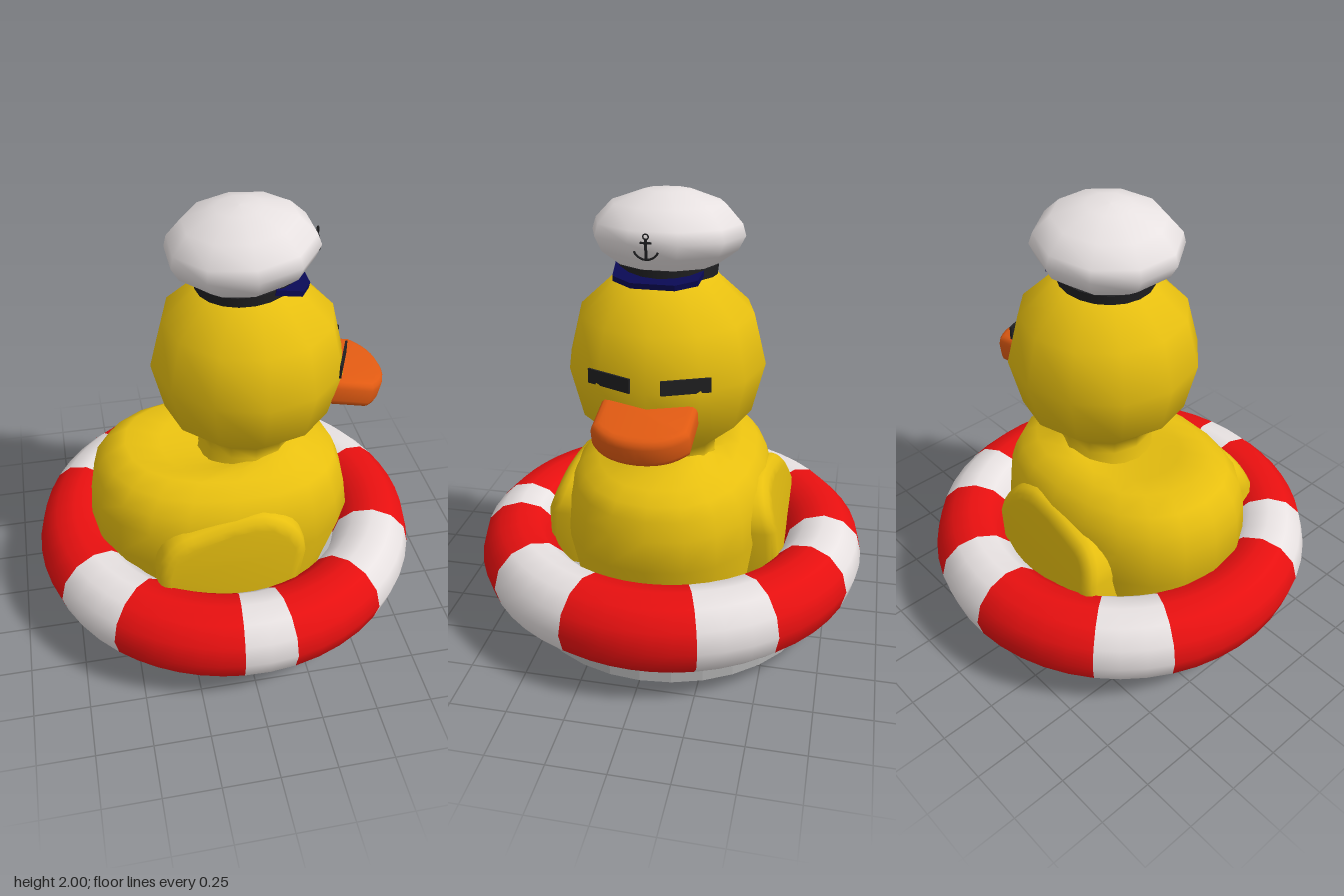
import * as THREE from 'three';
import { toCreasedNormals } from 'three/addons/utils/BufferGeometryUtils.js';

const paint = (name, color, flatShading = false) => {
  const m = new THREE.MeshStandardMaterial({ color, flatShading });
  m.name = name;
  return m;
};

const v2 = (pts) => pts.map(([x, y]) => new THREE.Vector2(x, y));

// Closed surface through oval rings: [y back, y front, x back, x front, half depth]
function loft(rings, sides) {
  const pos = [], idx = [];
  const soft = (v) => Math.sign(v) * Math.abs(v) ** 0.88;
  for (const [yb, yf, xb, xf, hz] of rings) {
    for (let j = 0; j < sides; j++) {
      const a = (j / sides) * Math.PI * 2, c = soft(Math.cos(a));
      pos.push((xb + xf) / 2 + ((xf - xb) / 2) * c, (yb + yf) / 2 + ((yf - yb) / 2) * c, hz * soft(Math.sin(a)));
    }
  }
  for (let k = 0; k < rings.length - 1; k++) {
    for (let j = 0; j < sides; j++) {
      const n = (j + 1) % sides, a = k * sides + j, c = k * sides + n;
      idx.push(a, a + sides, c, c, a + sides, c + sides);
    }
  }
  const g = new THREE.BufferGeometry();
  g.setAttribute('position', new THREE.Float32BufferAttribute(pos, 3));
  g.setIndex(idx);
  g.computeVertexNormals();
  return g;
}

function slab(shape, depth, bevel, crease) {
  const g = new THREE.ExtrudeGeometry(shape, {
    depth, bevelEnabled: bevel > 0, bevelThickness: bevel, bevelSize: bevel, bevelSegments: 3, curveSegments: 6,
  });
  return toCreasedNormals(g, crease);
}

export function createModel() {
  const root = new THREE.Group();
  const yellow = paint('duck yellow', 0xe8c010);
  const white = paint('white', 0xe8e2e2);
  const red = paint('red', 0xe81010);
  const orange = paint('beak orange', 0xe05a12);
  const navy = paint('navy', 0x0a0a55);
  const black = paint('black', 0x202022);
  const grey = paint('base grey', 0xb4b4b4, true);

  const add = (name, geo, mat, parent = root) => {
    const m = new THREE.Mesh(geo, mat);
    m.name = name;
    parent.add(m);
    return m;
  };

  // Round stand
  add('base', new THREE.CylinderGeometry(0.7, 0.7, 0.2, 32), grey).position.y = 0.1;

  // Swim ring in alternating segments, boundaries in degrees from +x toward +z
  const swimRing = new THREE.Group();
  swimRing.name = 'swimRing';
  swimRing.position.y = 0.3;
  root.add(swimRing);
  const cuts = [-93, -70.5, -41, -18, 20, 49.5, 80, 95, 133, 156, 207, 229.5, 267];
  for (let i = 0; i < cuts.length - 1; i++) {
    const start = THREE.MathUtils.degToRad(cuts[i]);
    const arc = THREE.MathUtils.degToRad(cuts[i + 1] - cuts[i]);
    const g = new THREE.TorusGeometry(0.72, 0.18, 12, Math.max(2, Math.round(arc / 0.12)), arc);
    g.rotateZ(start).rotateX(Math.PI / 2);
    add(i % 2 ? 'redSegment' : 'whiteSegment', g, i % 2 ? red : white, swimRing);
  }

  // Body with a raised rump at the back
  add('body', loft([
    [0.15, 0.15, -0.52, 0.48, 0.42],
    [0.48, 0.48, -0.64, 0.59, 0.47],
    [0.64, 0.62, -0.63, 0.57, 0.46],
    [0.74, 0.70, -0.605, 0.545, 0.435],
    [0.81, 0.76, -0.55, 0.52, 0.39],
    [0.865, 0.80, -0.46, 0.45, 0.32],
    [0.825, 0.85, -0.3, 0.36, 0.25],
    [0.80, 0.90, -0.12, 0.32, 0.2],
  ], 20), yellow);

  // Folded wings, leaning inward toward the top
  const wingShape = new THREE.Shape();
  wingShape.moveTo(-0.34, 0.3);
  wingShape.lineTo(-0.34, 0.5);
  wingShape.quadraticCurveTo(-0.32, 0.61, -0.22, 0.625);
  wingShape.quadraticCurveTo(-0.02, 0.68, 0.09, 0.675);
  wingShape.quadraticCurveTo(0.23, 0.64, 0.23, 0.54);
  wingShape.lineTo(0.19, 0.3);
  const wingGeo = slab(wingShape, 0.16, 0.05, 1.2);
  const wp = wingGeo.attributes.position;
  for (let i = 0; i < wp.count; i++) {
    wp.setZ(i, wp.getZ(i) + 0.33 - Math.max(0, wp.getY(i) - 0.5) * 0.35);
  }
  add('leftWing', wingGeo, yellow);
  add('rightWing', wingGeo, yellow).scale.z = -1;

  // Head and neck
  const head = add('head', new THREE.LatheGeometry(v2([
    [0.235, 0.78], [0.215, 0.86], [0.22, 0.92], [0.375, 1.055], [0.43, 1.28],
    [0.375, 1.5], [0.21, 1.655], [0, 1.7],
  ]), 12), yellow);
  head.position.x = 0.105;

  // Flat bill, tipped down
  const bill = new THREE.Shape();
  bill.moveTo(-0.14, -0.165);
  bill.lineTo(0.03, -0.165);
  bill.quadraticCurveTo(0.105, -0.11, 0.105, 0);
  bill.quadraticCurveTo(0.105, 0.11, 0.03, 0.165);
  bill.lineTo(-0.14, 0.165);
  const billGeo = slab(bill, 0.06, 0.035, 0.9);
  billGeo.translate(0, 0, -0.03).rotateX(-Math.PI / 2);
  const beak = add('beak', billGeo, orange);
  beak.position.set(0.58, 1.13, 0);
  beak.rotation.z = -0.22;

  // Narrow eyes
  for (const s of [1, -1]) {
    const eye = add(s > 0 ? 'rightEye' : 'leftEye', new THREE.BoxGeometry(0.009, 0.062, 0.205), black);
    eye.position.set(0.494, 1.312, s * 0.157);
    eye.rotation.y = -s * 0.4;
  }

  // Sailor cap, tilted back slightly
  const cap = new THREE.Group();
  cap.name = 'cap';
  cap.position.set(0.085, 1.68, 0);
  cap.rotation.z = 0.078;
  root.add(cap);
  add('capCrown', new THREE.LatheGeometry(v2([
    [0.2, 0], [0.215, 0.02], [0.295, 0.08], [0.325, 0.14],
    [0.31, 0.19], [0.24, 0.265], [0.1, 0.315], [0, 0.32],
  ]), 10), white, cap);
  add('capBand', new THREE.CylinderGeometry(0.217, 0.212, 0.045, 20), black, cap).position.y = -0.002;

  // Cap peak
  const peakShape = new THREE.Shape(v2([[0.08, -0.19], [0.2, -0.175], [0.25, -0.09], [0.25, 0.09], [0.2, 0.175], [0.08, 0.19]]));
  const peakGeo = slab(peakShape, 0.025, 0, 0.5);
  peakGeo.rotateX(-Math.PI / 2);
  const peak = add('capPeak', peakGeo, navy, cap);
  peak.position.set(0.01, 0.025, 0.01);
  peak.rotation.z = -0.3;

  // Small anchor badge
  const anchor = new THREE.Group();
  anchor.name = 'anchorBadge';
  anchor.position.set(0.308, 0.128, 0.025);
  anchor.rotation.z = -0.12;
  cap.add(anchor);
  add('anchorShaft', new THREE.BoxGeometry(0.008, 0.085, 0.01), black, anchor).position.y = -0.005;
  add('anchorBar', new THREE.BoxGeometry(0.008, 0.007, 0.045), black, anchor).position.y = 0.02;
  const eyelet = add('anchorEyelet', new THREE.TorusGeometry(0.011, 0.003, 5, 10), black, anchor);
  eyelet.rotation.y = Math.PI / 2;
  eyelet.position.y = 0.045;
  const arms = new THREE.TorusGeometry(0.052, 0.0045, 5, 10, 2.4);
  arms.rotateZ(Math.PI + 0.37).rotateY(Math.PI / 2);
  add('anchorArms', arms, black, anchor).position.y = 0.005;

  return root;
}
